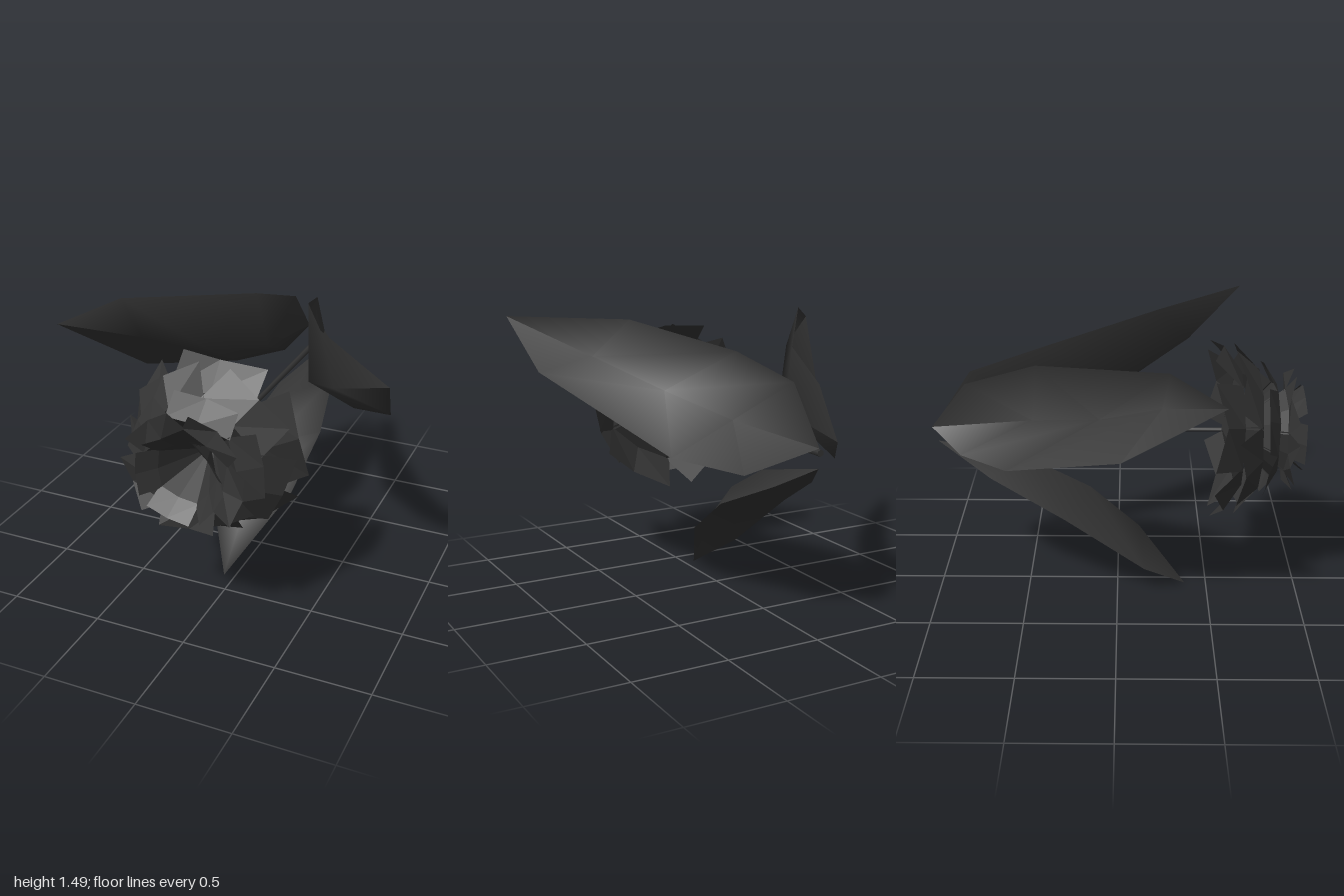
import * as THREE from 'three';

const DARK = 0x343434;

// Surface lofted through rows of points, each row the same length
function loft(rows, flat) {
  const n = rows[0].length, index = [];
  for (let i = 0; i < rows.length - 1; i++) {
    for (let j = 0; j < n - 1; j++) {
      const a = i * n + j, b = a + n;
      index.push(a, a + 1, b, a + 1, b + 1, b);
    }
  }
  let geo = new THREE.BufferGeometry();
  geo.setAttribute('position', new THREE.Float32BufferAttribute(rows.flat(2), 3));
  geo.setIndex(index);
  if (flat) geo = geo.toNonIndexed();
  geo.computeVertexNormals();
  return geo;
}

// Folded leaf: two edges and a midrib between a base and a tip
function leaf(name, { base, tip, edgeA, rib, edgeB }, material) {
  const rows = [[base, base, base]];
  rib.forEach((p, i) => rows.push([edgeA[i], p, edgeB[i]]));
  rows.push([tip, tip, tip]);
  const mesh = new THREE.Mesh(loft(rows, false), material);
  mesh.name = name;
  return mesh;
}

// Petal fanning from the root: a wide middle row, then a square-cornered rim.
// Rows are [radius, z, half angle, corner z offset]; the middle column sits near the chord.
function petal(rootZ, rows, angle) {
  const root = [0, 0, rootZ];
  const points = rows.map(([r, z, half, corner]) => [-1, 0, 1].map((u) => {
    const a = angle + u * half;
    const rr = u === 0 ? r * (0.4 + 0.6 * Math.cos(half)) : r;
    return [rr * Math.cos(a), rr * Math.sin(a), z + Math.abs(u) * corner];
  }));
  return loft([[root, root, root], ...points], true);
}

export function createModel() {
  const model = new THREE.Group();
  const leafMat = new THREE.MeshStandardMaterial({ color: DARK, side: THREE.DoubleSide });
  const petalMat = new THREE.MeshStandardMaterial({ color: DARK, side: THREE.DoubleSide, flatShading: true });

  // Slim stem running back from the bloom
  const stem = new THREE.Mesh(new THREE.CylinderGeometry(0.011, 0.018, 1.54, 6), leafMat);
  stem.name = 'stem';
  stem.rotation.x = Math.PI / 2;
  stem.position.set(-0.01, 0.925, -0.21);
  model.add(stem);

  // Three long leaves fanning forward from the stem end
  model.add(leaf('lowerLeaf', {
    base: [0, 0.85, -0.98], tip: [-0.06, 0, 0.38],
    edgeA: [[-0.17, 0.7, -0.68], [-0.265, 0.5, -0.28], [-0.21, 0.17, 0.15]],
    rib: [[0, 0.745, -0.48], [-0.01, 0.58, -0.15], [-0.03, 0.35, 0.12]],
    edgeB: [[0.13, 0.74, -0.8], [0.2, 0.57, -0.4], [0.165, 0.35, -0.05]],
  }, leafMat));
  model.add(leaf('leftLeaf', {
    base: [0, 0.95, -0.985], tip: [0.92, 1.47, 0.72],
    edgeA: [[0.27, 0.8, -0.75], [0.43, 0.815, -0.3], [0.85, 1.19, 0.43]],
    rib: [[0.13, 1.0, -0.4], [0.29, 1.1, 0.05], [0.55, 1.26, 0.4]],
    edgeB: [[0.02, 1.24, -0.79], [0.11, 1.35, -0.4], [0.41, 1.47, 0.22]],
  }, leafMat));
  model.add(leaf('rightLeaf', {
    base: [-0.1, 0.97, -0.99], tip: [-0.92, 1.4, 0.51],
    edgeA: [[-0.12, 1.22, -0.8], [-0.21, 1.355, -0.42], [-0.69, 1.485, 0.25]],
    rib: [[-0.15, 1.03, -0.45], [-0.36, 1.12, -0.09], [-0.59, 1.27, 0.22]],
    edgeB: [[-0.2, 0.85, -0.83], [-0.4, 0.85, -0.57], [-0.68, 1.02, 0.02]],
  }, leafMat));

  // Bloom: overlapping rings of five petals, curled back outside, cupped toward an open centre
  const rings = [
    { name: 'outerPetal', start: 86, root: 0, rows: [[0.36, 0.1, 0.66, -0.01], [0.49, 0, 0.48, -0.06]] },
    { name: 'secondPetal', start: 50, root: 0.01, rows: [[0.33, 0.2, 0.66, -0.01], [0.46, 0.1, 0.45, -0.04]] },
    { name: 'thirdPetal', start: 80, root: 0.02, rows: [[0.28, 0.29, 0.66, -0.01], [0.38, 0.22, 0.46, 0]] },
    { name: 'fourthPetal', start: 56, root: 0.03, rows: [[0.23, 0.34, 0.66, -0.01], [0.33, 0.34, 0.46, 0.04]] },
    { name: 'innerPetal', start: 38, root: 0.06, rows: [[0.17, 0.34, 0.68, 0], [0.24, 0.43, 0.5, 0]] },
  ];
  const bloom = new THREE.Group();
  bloom.name = 'bloom';
  bloom.position.set(-0.005, 0.93, 0.56);
  for (const ring of rings) {
    for (let k = 0; k < 5; k++) {
      const angle = THREE.MathUtils.degToRad(ring.start + k * 72);
      const mesh = new THREE.Mesh(petal(ring.root, ring.rows, angle), petalMat);
      mesh.name = ring.name;
      bloom.add(mesh);
    }
  }
  model.add(bloom);
  return model;
}
